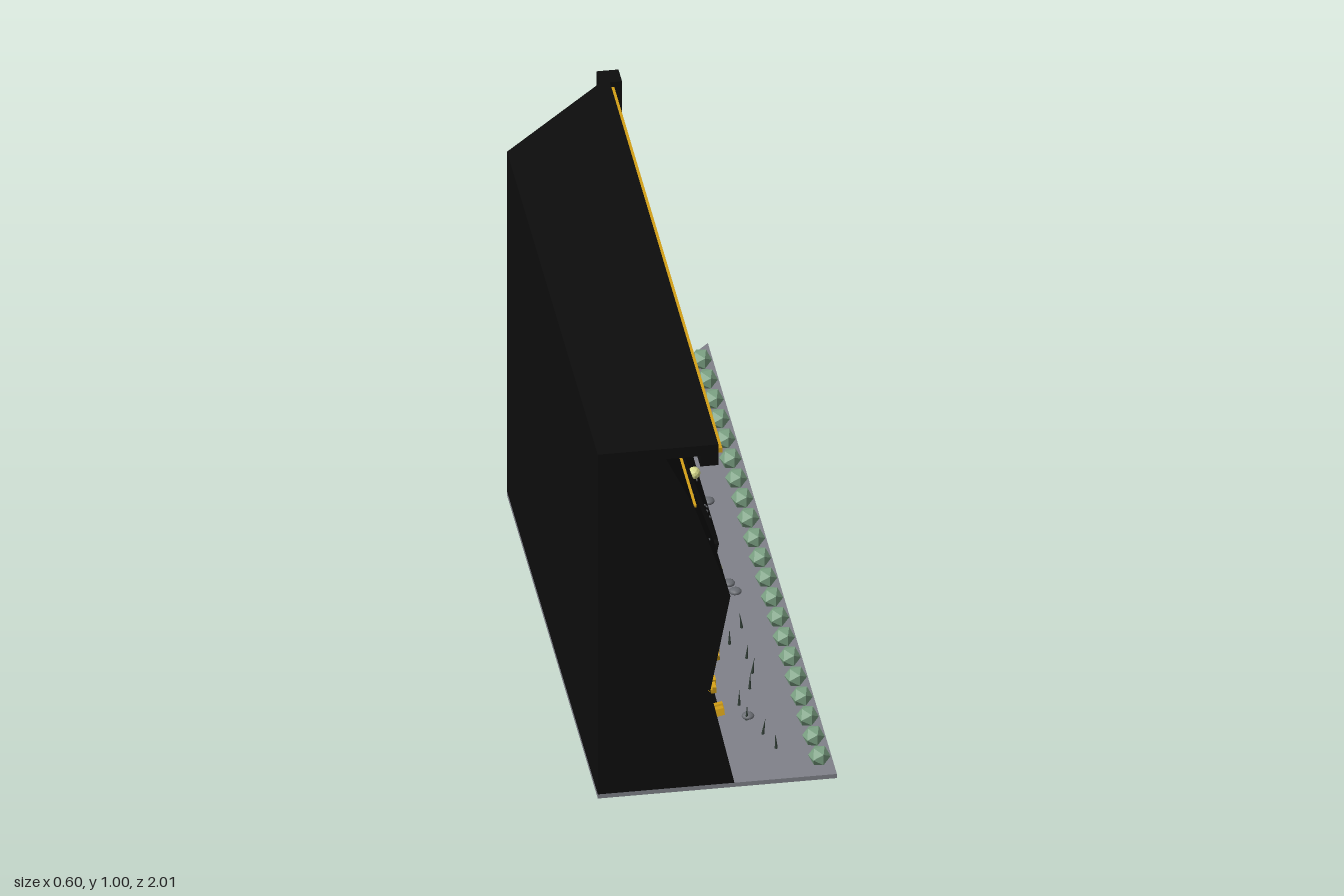
import * as THREE from 'three';

const mat = (name, color, opts = {}) => {
  const m = new THREE.MeshStandardMaterial({ color, ...opts });
  m.name = name;
  return m;
};

// Wall face nodes: [x, y] at each panel joint
const FACE = [[0.04, 0.012], [-0.02, 0.285], [0.03, 0.555], [-0.06, 0.825], [-0.13, 0.97]];

// Raised panels: [row, zMin, zMax, thickness]
const PANELS = [
  [0, -0.69, -0.62, 0.028], [0, 0.25, 0.5, 0.008], [0, 0.5, 0.75, 0.014], [0, -0.25, 0, 0.01],
  [1, 0.5, 0.75, 0.012], [1, 0, 0.25, 0.015], [1, -0.62, -0.5, 0.012],
  [2, 0.25, 0.75, 0.012], [2, -0.25, 0, 0.012], [2, -0.62, -0.5, 0.014],
  [3, 0, 0.5, 0.022], [3, -0.25, 0, 0.035], [3, 0.5, 0.75, 0.012],
];

function rowAt(y) {
  let i = 0;
  while (i < FACE.length - 2 && y > FACE[i + 1][1]) i++;
  return i;
}

// Outermost wall x at a given height and depth
function surfaceX(y, z) {
  const i = rowAt(y);
  const [a, b] = [FACE[i], FACE[i + 1]];
  const panel = PANELS.find(([r, z0, z1]) => r === i && z >= z0 && z <= z1);
  return a[0] + (b[0] - a[0]) * (y - a[1]) / (b[1] - a[1]) + (panel ? panel[3] : 0);
}

// Extrude an xy outline along z; z0 may depend on x for the slanted back end
function prism(points, z0, z1) {
  const shape = new THREE.Shape(points.map(([x, y]) => new THREE.Vector2(x, y)));
  const g = new THREE.ExtrudeGeometry(shape, { depth: 1, bevelEnabled: false });
  const p = g.attributes.position;
  for (let i = 0; i < p.count; i++) {
    const back = typeof z0 === 'function' ? z0(p.getX(i)) : z0;
    p.setZ(i, p.getZ(i) > 0.5 ? z1 : back);
  }
  g.computeVertexNormals();
  return g;
}

function seeded(seed) {
  return () => (seed = (seed * 16807) % 2147483647) / 2147483647;
}

export function createModel() {
  const root = new THREE.Group();
  root.name = 'climbingWall';
  const black = mat('wall black', 0x0d0d0d);
  const floorGrey = mat('floor grey', 0x80828a);
  const gold = mat('gold', 0xd4a017, { flatShading: true });
  const pale = mat('pale lime', 0xd6da8c, { flatShading: true });
  const sage = mat('sage green', 0x8fb89a, { flatShading: true });
  const bushGreen = mat('bush green', 0x7da385, { flatShading: true });
  const stone = mat('stone grey', 0x6a6d73);
  const grassGreen = mat('dark grass', 0x35423a);
  const boltGrey = mat('bolt grey', 0x4c4f54);

  const add = (name, geo, material, x = 0, y = 0, z = 0, parent = root) => {
    const m = new THREE.Mesh(geo, material);
    m.name = name;
    m.position.set(x, y, z);
    parent.add(m);
    return m;
  };
  const group = (name) => {
    const g = new THREE.Group();
    g.name = name;
    root.add(g);
    return g;
  };
  const slant = (x) => -0.71 - x;

  // Floor slab and wall body share the slanted back end
  add('floor', prism([[-0.3, 0], [0.295, 0], [0.295, 0.012], [-0.3, 0.012]], slant, 1), floorGrey);
  const outline = [[-0.3, 0.012], ...FACE, [-0.045, 0.97], [-0.045, 0.94], [0, 0.94], [0, 1], [-0.3, 1]];
  add('wallBody', prism(outline, slant, 1), black);
  add('cornerPost', new THREE.BoxGeometry(0.055, 1, 0.055), black, 0.0025, 0.5, -0.712);
  add('topLightStrip', new THREE.BoxGeometry(0.01, 0.013, 1.68), gold, 0.005, 0.982, 0.16);

  // Raised panels
  const panels = group('panels');
  for (const [r, z0, z1, d] of PANELS) {
    const [a, b] = [FACE[r], FACE[r + 1]];
    // Lowest wide panels start above the foot of the wall
    const lift = r === 0 && z1 - z0 > 0.1 ? 0.25 : 0.03;
    const s = [a[0] + (b[0] - a[0]) * lift, a[1] + (b[1] - a[1]) * lift];
    const e = r === 3 ? [-0.125, 0.96] : b;
    const pts = [[s[0] - 0.01, s[1]], [s[0] + d, s[1]], [e[0] + d, e[1] - 0.005], [e[0] - 0.01, e[1] - 0.005]];
    add('panel', prism(pts, z0 + 0.002, z1 - 0.002), black, 0, 0, 0, panels);
  }

  // Light lines at the panel joints: [joint, zMin, zMax]
  const lines = group('jointLines');
  for (const [j, z0, z1] of [[3, 0.75, 1], [3, -0.5, -0.25], [2, -0.5, 0.25],
    [1, 0.75, 1], [1, 0.25, 0.5], [1, -0.5, 0]]) {
    const x = j === 2 ? FACE[j][0] + 0.012 : FACE[j][0];
    add('jointLine', new THREE.BoxGeometry(0.012, 0.005, z1 - z0), gold, x, FACE[j][1], (z0 + z1) / 2, lines);
  }

  // Climbing holds at [z, y]
  const rnd = seeded(77);
  const holds = group('holds');
  const jugs = [[0.51, 0.9], [-0.21, 0.86], [-0.08, 0.92], [0.13, 0.74], [0.41, 0.66], [0.84, 0.42], [0.93, 0.35],
    [0.96, 0.2], [0.76, 0.145], [0.62, 0.12], [0.31, 0.155], [0.13, 0.36], [-0.21, 0.46], [-0.32, 0.36]];
  const jugGeo = new THREE.BoxGeometry(0.028, 0.018, 0.036);
  const lipGeo = new THREE.BoxGeometry(0.022, 0.02, 0.018);
  for (const [z, y] of jugs) {
    const jug = new THREE.Group();
    jug.name = 'jugHold';
    jug.position.set(surfaceX(y, z) + 0.006, y, z);
    jug.rotation.set((rnd() - 0.5) * 0.7, 0, (rnd() - 0.5) * 0.6);
    add('jugBody', jugGeo, gold, 0, 0, 0, jug);
    add('jugLip', lipGeo, gold, 0.006, 0.004, -0.014, jug);
    holds.add(jug);
  }
  const balls = [[0.73, 0.75], [0.21, 0.675], [-0.44, 0.75], [-0.63, 0.73], [-0.55, 0.62], [0.75, 0.48], [0.63, 0.36],
    [0.23, 0.33], [0.02, 0.42], [0.01, 0.17], [0.21, 0.085], [-0.54, 0.34], [-0.53, 0.155]];
  const ballGeo = new THREE.IcosahedronGeometry(0.016, 1);
  for (const [z, y] of balls) add('ballHold', ballGeo, pale, surfaceX(y, z) + 0.006, y, z, holds);
  const slopers = [[0.51, 0.755], [-0.3, 0.88], [-0.1, 0.735], [0.3, 0.41], [-0.08, 0.38], [-0.4, 0.455],
    [0.41, 0.12], [0.11, 0.075], [-0.3, 0.09], [-0.42, 0.09]];
  const sloperGeo = new THREE.IcosahedronGeometry(0.026, 1).scale(0.5, 0.7, 1);
  for (const [z, y] of slopers) {
    const m = add('sloperHold', sloperGeo, sage, surfaceX(y, z) + 0.004, y, z, holds);
    m.rotation.x = (rnd() - 0.5) * 0.5;
  }

  // Small bolt heads scattered over the wall
  const bolts = group('bolts');
  const boltGeo = new THREE.SphereGeometry(0.004, 6, 4);
  for (let i = 0; i < 70; i++) {
    const y = 0.06 + rnd() * 0.84, z = -0.55 + rnd() * 1.5;
    add('bolt', boltGeo, boltGrey, surfaceX(y, z), y, z, bolts);
  }

  // Row of bushes along the outer edge
  const bushes = group('bushes');
  const bushGeo = new THREE.IcosahedronGeometry(0.028, 0);
  for (let i = 0; i < 21; i++) {
    add('bush', bushGeo, bushGreen, 0.26, 0.035, 0.945 - i * 0.0922, bushes).rotation.y = 0.3;
  }

  // Pebbles at [x, z]
  const pebbles = group('pebbles');
  const pebbleGeo = new THREE.SphereGeometry(0.016, 10, 6).scale(1, 0.5, 1);
  for (const [x, z] of [[0.2, -0.81], [0.11, -0.82], [0.2, -0.62], [0.18, -0.28], [0.1, -0.03], [0.15, 0.04],
    [0.1, 0.18], [0.14, 0.17], [0.18, 0.14], [0.17, 0.1], [0.12, 0.71]]) {
    add('pebble', pebbleGeo, stone, x, 0.018, z, pebbles);
  }

  // Grass blades
  const grass = group('grass');
  const bladeGeo = new THREE.ConeGeometry(0.004, 0.045, 4);
  for (let i = 0; i < 24; i++) {
    const m = add('blade', bladeGeo, grassGreen, 0.1 + rnd() * 0.07, 0.034, -0.75 + i * 0.07, grass);
    m.rotation.z = (rnd() - 0.5) * 0.3;
  }
  return root;
}
